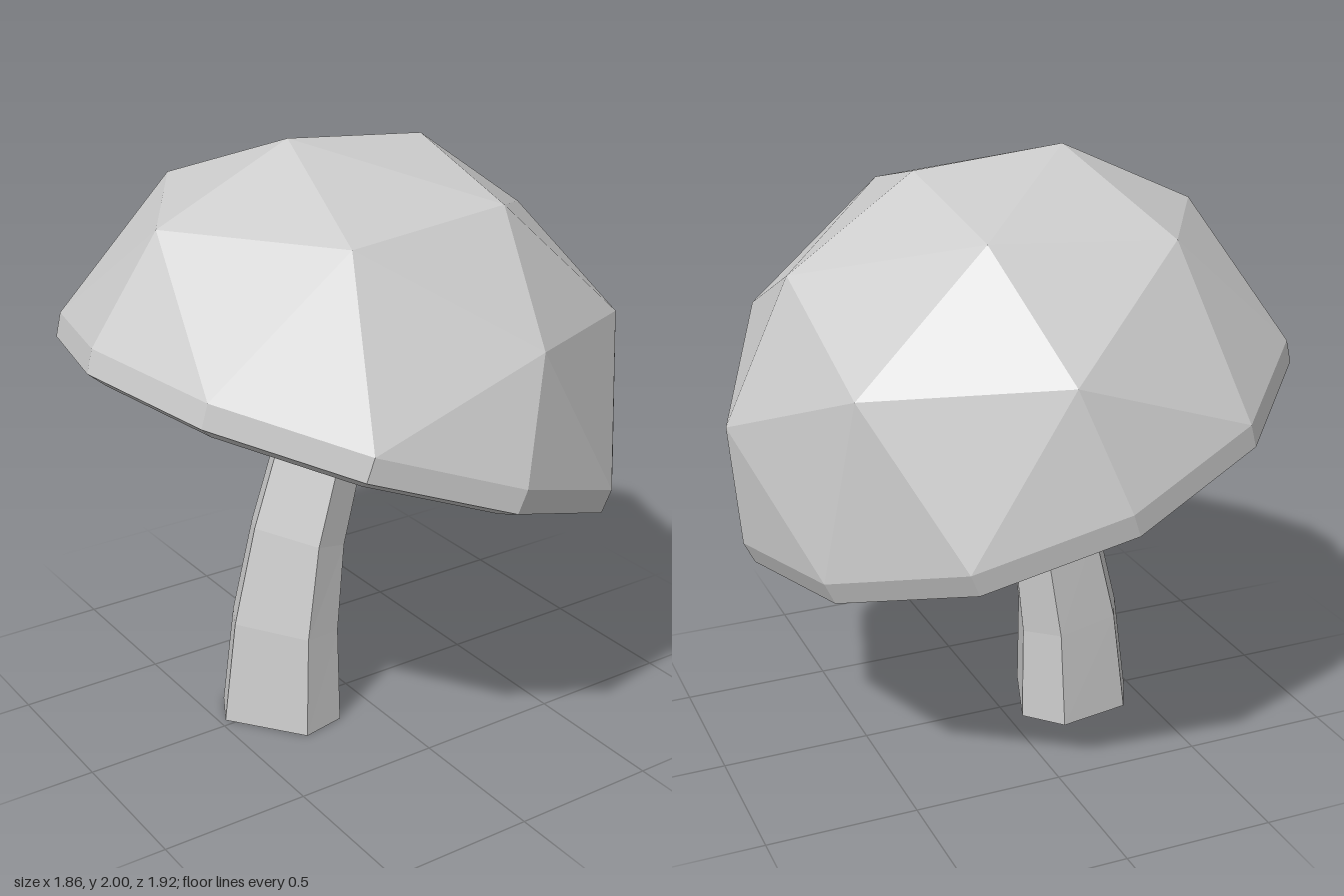
import * as THREE from 'three';

const { degToRad } = THREE.MathUtils;

// Faceted mesh from a list of triangles [p, q, r]
function facetMesh(name, tris) {
  const geo = new THREE.BufferGeometry().setFromPoints(tris.flat());
  geo.computeVertexNormals();
  const mesh = new THREE.Mesh(geo, new THREE.MeshStandardMaterial({ color: 0xcccccc, flatShading: true }));
  mesh.name = name;
  return mesh;
}

// Side faces between successive closed rings; they face right of the path
function loft(rings) {
  const tris = [];
  for (let k = 0; k + 1 < rings.length; k++) {
    const a = rings[k], b = rings[k + 1], n = a.length;
    for (let i = 0; i < n; i++) {
      const j = (i + 1) % n;
      tris.push([a[i], b[i], a[j]], [b[i], b[j], a[j]]);
    }
  }
  return tris;
}

// Closing fan over a ring, facing down
function fan(centre, ring) {
  return ring.map((p, i) => [centre, p, ring[(i + 1) % ring.length]]);
}

// Level ring of twelve points
function ring12(r, y) {
  return Array.from({ length: 12 }, (_, i) => {
    const t = (i / 12) * Math.PI * 2;
    return new THREE.Vector3(Math.cos(t) * r, y, Math.sin(t) * r);
  });
}

// Dome of 4 quadrants, row k having 4k points
function dome() {
  const point = (k, q, j) => {
    let [r, y] = [[0, 0.88], [0.492, 0.75], [0.855, 0.388], [0.96, 0]][k];
    if (k === 2 && j === 1) [r, y] = [0.771, 0.518];
    const t = (q + (k ? j / k : 0)) * Math.PI / 2;
    return new THREE.Vector3(Math.cos(t) * r, y, Math.sin(t) * r);
  };
  const tris = [];
  for (let q = 0; q < 4; q++)
    for (let k = 0; k < 3; k++)
      for (let j = 0; j <= k; j++) {
        tris.push([point(k + 1, q, j), point(k, q, j), point(k + 1, q, j + 1)]);
        if (j < k) tris.push([point(k, q, j), point(k, q, j + 1), point(k + 1, q, j + 1)]);
      }
  return tris;
}

export function createModel() {
  const model = new THREE.Group();
  model.name = 'mushroom';

  // Tilted cap: outer dome, bevelled rim and shallow hollow underside
  const cap = new THREE.Group();
  cap.name = 'cap';
  cap.position.set(-0.01, 1.127, 0);
  cap.rotation.z = -degToRad(20);
  const rim = [[0.72, -0.08], [0.878, -0.106], [0.952, -0.079], [0.96, 0]];
  const hollow = [[0.4, 0.04], [0.72, -0.08]].map(([r, y]) => ring12(r, y));
  cap.add(
    facetMesh('capDome', dome()),
    facetMesh('capRim', loft(rim.map(([r, y]) => ring12(r, y)))),
    facetMesh('capUnderside', [...loft(hollow), ...fan(new THREE.Vector3(0, 0.09, 0), hollow[0])])
  );
  model.add(cap);

  // Uneven six-sided stem outline as x, z
  const outline = [[0.215, -0.085], [0.12, 0.18], [-0.033, 0.21], [-0.213, -0.03], [-0.145, -0.16], [0.105, -0.203]];
  // Stem sections: centre x, y, outline scale, lean in degrees
  const sections = [
    [-0.265, 0, 1, 0], [-0.245, 0.345, 0.88, 5], [-0.19, 0.66, 0.77, 14],
    [-0.11, 0.925, 0.72, 20], [0.075, 1.435, 0.68, 20],
  ];
  const zAxis = new THREE.Vector3(0, 0, 1);
  const rings = sections.map(([x, y, scale, lean]) =>
    outline.map(([px, pz]) => new THREE.Vector3(px * scale, 0, pz * scale)
      .applyAxisAngle(zAxis, -degToRad(lean)).add(new THREE.Vector3(x, y, 0))));
  const foot = new THREE.Vector3(sections[0][0], 0, 0);
  model.add(facetMesh('stem', [...loft(rings), ...fan(foot, rings[0])]));

  return model;
}
